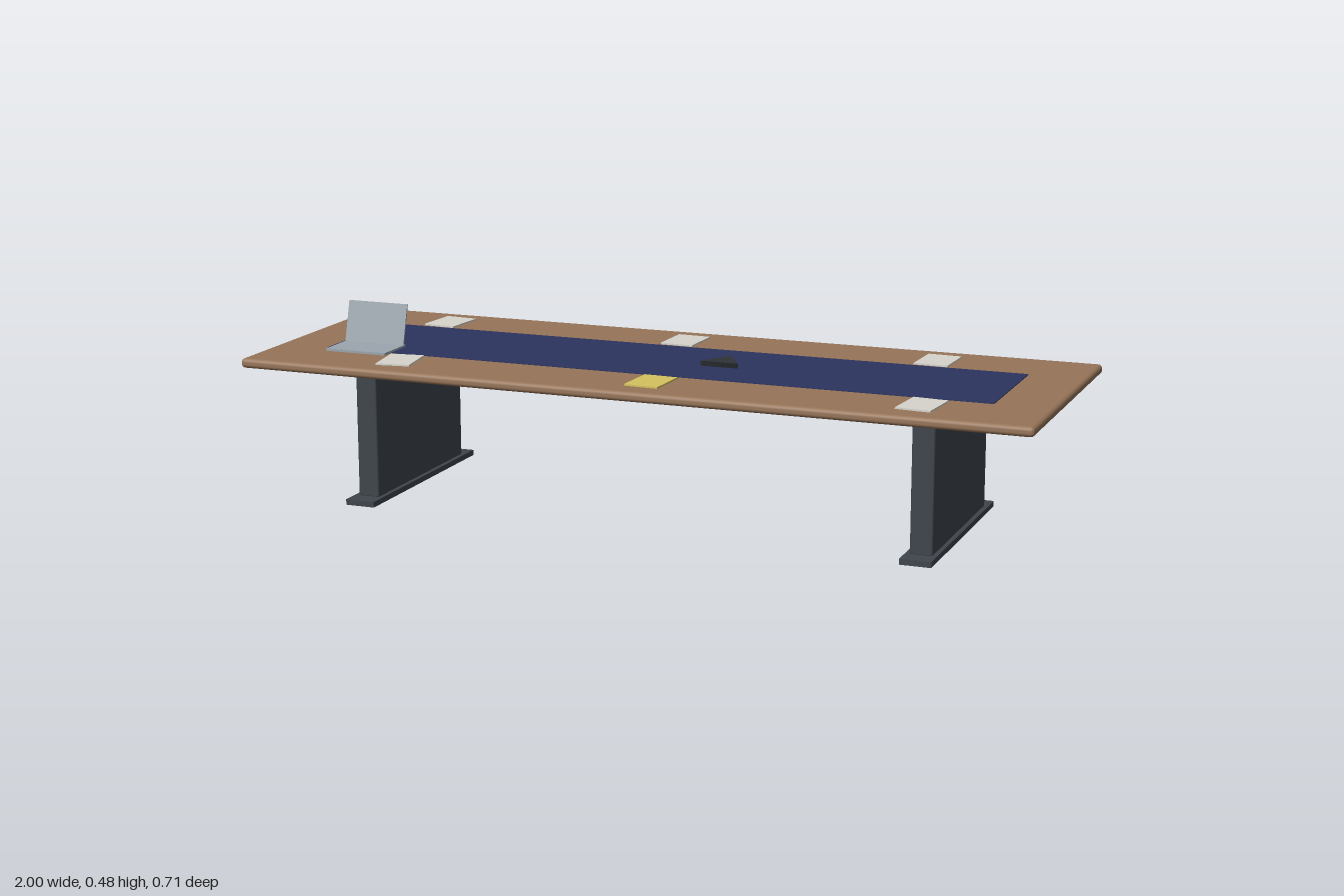
import * as THREE from 'three';
import { RoundedBoxGeometry } from 'three/addons/geometries/RoundedBoxGeometry.js';

function material(name, color) {
  const m = new THREE.MeshStandardMaterial({ color });
  m.name = name;
  return m;
}

export function createModel() {
  const wood = material('wood', 0x977559);
  const steel = material('dark steel', 0x3f454c);
  const navy = material('navy cloth', 0x2c345e);
  const paper = material('paper', 0xd6d4cd);
  const yellow = material('yellow paper', 0xd4c25e);
  const silver = material('silver', 0x9ca6ae);
  const black = material('black plastic', 0x2e3236);

  const model = new THREE.Group();
  model.name = 'conferenceTable';

  function add(name, geometry, mat, x, y, z, parent = model) {
    const mesh = new THREE.Mesh(geometry, mat);
    mesh.name = name;
    mesh.position.set(x, y, z);
    parent.add(mesh);
    return mesh;
  }
  const box = (w, h, d) => new THREE.BoxGeometry(w, h, d);

  // Table top with rounded edge
  const topY = 0.368;
  add('tableTop', new RoundedBoxGeometry(2, 0.024, 0.714, 4, 0.01), wood, 0, topY - 0.012, 0);

  // Slab legs on flat feet
  for (const side of [-1, 1]) {
    const name = side > 0 ? 'left' : 'right';
    add(name + 'Leg', new RoundedBoxGeometry(0.055, 0.327, 0.476, 2, 0.004), steel, side * 0.716, 0.1755, 0);
    add(name + 'Foot', box(0.077, 0.014, 0.572), steel, side * 0.716, 0.007, 0);
  }

  // Stretcher beam between the legs
  add('beam', box(1.4, 0.038, 0.038), steel, 0, 0.287, 0);

  // Cloth runner
  add('runner', box(1.72, 0.002, 0.332), navy, 0, topY + 0.001, -0.002);

  // Notepads: x, z, turn, material
  const pads = [
    [-0.715, -0.24, -0.09, paper],
    [-0.05, -0.24, -0.04, paper],
    [0.615, -0.24, -0.04, paper],
    [-0.62, 0.237, 0.15, paper],
    [0.045, 0.237, -0.05, yellow],
    [0.71, 0.237, -0.09, paper],
  ];
  for (const [x, z, turn, mat] of pads) {
    add('notepad', box(0.086, 0.004, 0.118), mat, x, topY + 0.002, z).rotation.y = turn;
  }

  // Three-sided conference speaker, point to the back
  add('speaker', new THREE.CylinderGeometry(0.056, 0.056, 0.014, 3), black, 0.14, topY + 0.007, 0)
    .rotation.y = Math.PI;

  // Open laptop with the lid leaning back
  const laptop = new THREE.Group();
  laptop.name = 'laptop';
  laptop.position.set(-0.763, topY + 0.001, 0.144);
  model.add(laptop);
  add('laptopBase', box(0.164, 0.006, 0.113), silver, 0, 0.003, 0, laptop);
  const hinge = new THREE.Group();
  hinge.name = 'laptopLid';
  hinge.position.set(0, 0.005, -0.046);
  hinge.rotation.x = -0.26;
  laptop.add(hinge);
  add('lidPanel', box(0.164, 0.105, 0.004), silver, 0, 0.0525, 0, hinge);

  return model;
}
